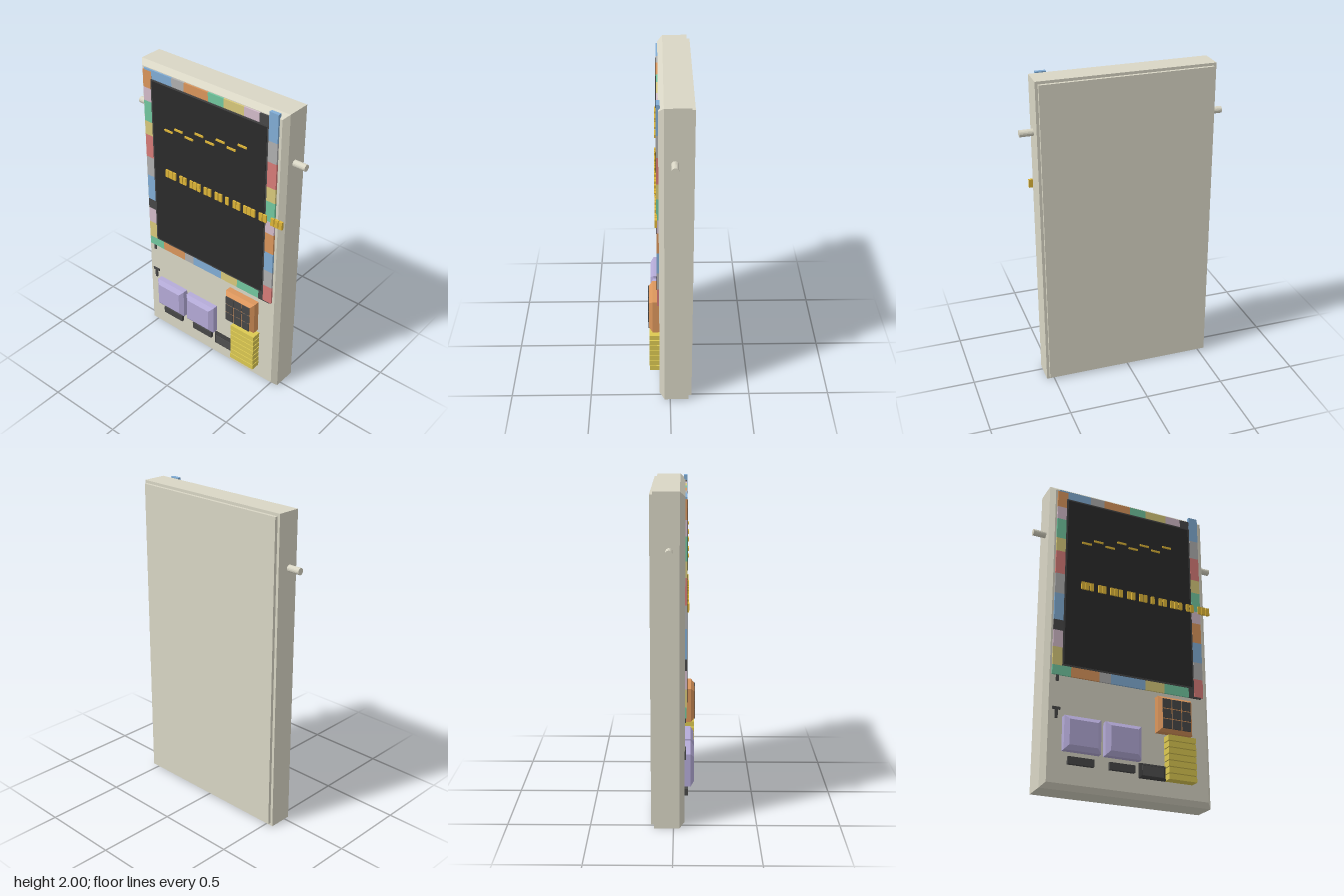
import * as THREE from 'three';

const BLUE = 0x82aed6, GREY = 0xb0b0b0, ORANGE = 0xdb965c, GREEN = 0x72c8a0, YELLOW = 0xd9ca7c,
  PINK = 0xd4bccb, RED = 0xd87c78, DARK = 0x484848, CREAM = 0xd9d6c5, GOLD = 0xdfb638;

const mats = {};
const mat = (color) => (mats[color] ??= new THREE.MeshStandardMaterial({ color, flatShading: true }));

export function createModel() {
  const model = new THREE.Group();

  function add(parent, name, geometry, color) {
    const mesh = new THREE.Mesh(geometry, mat(color));
    mesh.name = name;
    parent.add(mesh);
    return mesh;
  }
  function group(name) {
    const g = new THREE.Group();
    g.name = name;
    model.add(g);
    return g;
  }
  // Box given by its limits
  function box(parent, name, color, x0, x1, y0, y1, z0, z1) {
    const g = new THREE.BoxGeometry(x1 - x0, y1 - y0, z1 - z0);
    g.translate((x0 + x1) / 2, (y0 + y1) / 2, (z0 + z1) / 2);
    return add(parent, name, g, color);
  }
  // Box whose front narrows by "inset" between zMid and z1
  function bevelBox(parent, name, color, x0, x1, y0, y1, z0, zMid, z1, inset) {
    const g = new THREE.BoxGeometry(x1 - x0, y1 - y0, 2, 1, 1, 2);
    const p = g.attributes.position;
    for (let i = 0; i < p.count; i++) {
      const z = p.getZ(i), cut = z > 0.5 ? inset : 0;
      p.setXYZ(i,
        (x0 + x1) / 2 + p.getX(i) - Math.sign(p.getX(i)) * cut,
        (y0 + y1) / 2 + p.getY(i) - Math.sign(p.getY(i)) * cut,
        z < -0.5 ? z0 : z > 0.5 ? z1 : zMid);
    }
    g.computeVertexNormals();
    return add(parent, name, g, color);
  }

  // Casing, back panel and side pins
  bevelBox(model, 'casing', CREAM, -0.547, 0.547, 0, 2, -0.115, 0.035, 0.066, 0.03);
  box(model, 'backPanel', CREAM, -0.53, 0.53, 0.017, 1.983, -0.134, -0.115);
  for (const side of [-1, 1]) {
    const pin = add(model, side > 0 ? 'leftPin' : 'rightPin',
      new THREE.CylinderGeometry(0.021, 0.021, 0.1, 16).rotateZ(Math.PI / 2), CREAM);
    pin.position.set(side * 0.58, 1.67, -0.025);
  }

  // Coloured border: each run lists [colour, end coordinate]
  const border = group('colourBorder');
  function run(name, start, list, place) {
    let a = start;
    list.forEach(([color, b], i) => {
      place(`${name}${i + 1}`, color, Math.min(a, b), Math.max(a, b));
      a = b;
    });
  }
  run('topTile', -0.495, [[BLUE, -0.278], [GREY, -0.182], [ORANGE, 0], [GREEN, 0.114],
    [YELLOW, 0.262], [PINK, 0.37], [DARK, 0.437]],
  (n, c, a, b) => box(border, n, c, a, b, 1.9, 1.966, 0.06, 0.076));
  run('bottomTile', -0.505, [[GREEN, -0.386], [ORANGE, -0.204], [GREY, -0.13], [BLUE, 0.1],
    [YELLOW, 0.23], [GREEN, 0.4], [DARK, 0.485]],
  (n, c, a, b) => box(border, n, c, a, b, 0.683, 0.75, 0.06, 0.076));
  run('rightTile', 1.955, [[ORANGE, 1.84], [PINK, 1.75], [GREEN, 1.61], [YELLOW, 1.516], [RED, 1.357],
    [GREY, 1.22], [BLUE, 1.04], [DARK, 0.97], [PINK, 0.86], [YELLOW, 0.743]],
  (n, c, a, b) => box(border, n, c, -0.505, -0.437, a, b, 0.06, 0.077));
  run('leftTile', 2, [[BLUE, 1.82], [GREY, 1.687], [RED, 1.522], [YELLOW, 1.427], [GREEN, 1.29],
    [PINK, 1.204], [ORANGE, 1.066], [BLUE, 0.928], [GREY, 0.812], [RED, 0.693]],
  (n, c, a, b) => box(border, n, c, 0.437, 0.5, a, b, 0.056, 0.079));

  // Screen with a thin rim
  box(model, 'screenRim', 0x444444, -0.444, 0.437, 0.745, 1.909, 0.06, 0.078);
  box(model, 'screen', 0x2b2b2b, -0.433, 0.426, 0.756, 1.898, 0.07, 0.08);

  // Dashes on the upper screen
  const dashes = group('screenDashes');
  [1.607, 1.638, 1.617, 1.67, 1.648, 1.69, 1.67, 1.717].forEach((y, i) => {
    const x = -0.304 + i * 0.0807;
    box(dashes, `dash${i + 1}`, GOLD, x - 0.032, x + 0.032, y - 0.006, y + 0.006, 0.076, 0.088);
  });

  // Row of bars in clusters: [start, count, pitch]
  const bars = group('screenBars');
  [[-0.336, 3, 0.029], [-0.222, 2, 0.029], [-0.14, 3, 0.03], [-0.025, 2, 0.03], [0.06, 2, 0.03],
    [0.142, 1, 0], [0.198, 2, 0.03], [0.28, 3, 0.03], [0.394, 2, 0.03], [0.48, 3, 0.029]]
    .forEach(([x, count, pitch], c) => {
      for (let i = 0; i < count; i++) {
        const a = x + i * pitch;
        box(bars, `bar${c + 1}_${i + 1}`, GOLD, a, a + 0.024, 1.277, 1.328, 0.074, 0.09);
      }
    });

  // Two large buttons with a slot under each
  [-0.43, -0.172].forEach((x, i) => {
    bevelBox(model, `button${i + 1}`, 0xb5abd8, x, x + 0.231, 0.22, 0.428, 0.06, 0.102, 0.123, 0.027);
    box(model, `slot${i + 1}`, DARK, x + 0.035, x + 0.197, 0.145, 0.19, 0.06, 0.086);
  });

  // Small dark box
  bevelBox(model, 'darkBox', 0x3c3c3c, 0.055, 0.226, 0.122, 0.212, 0.06, 0.08, 0.086, 0.012);
  box(model, 'darkBoxFace', 0x505050, 0.07, 0.211, 0.137, 0.197, 0.08, 0.09);

  // Keypad: bevelled block with nine keys
  const keypad = group('keypad');
  bevelBox(keypad, 'keypadBase', ORANGE, 0.168, 0.398, 0.416, 0.644, 0.06, 0.107, 0.129, 0.021);
  for (let r = 0; r < 3; r++) {
    for (let c = 0; c < 3; c++) {
      const x = 0.283 + (c - 1) * 0.065, y = 0.528 + (r - 1) * 0.065;
      box(keypad, `key${r * 3 + c + 1}`, DARK, x - 0.029, x + 0.029, y - 0.029, y + 0.029, 0.12, 0.134);
    }
  }

  // Stack of slats
  const slats = group('slatStack');
  for (let i = 0; i < 7; i++) {
    const y = 0.123 + i * 0.0402;
    box(slats, `slat${i + 1}`, 0xdcc952, 0.226, 0.411, y, y + 0.034, 0.06, 0.128);
  }

  // T-shaped marks on the panel
  [0.483, 0.715].forEach((top, i) => {
    const mark = group(`tMark${i + 1}`);
    box(mark, 'markBar', DARK, -0.494, -0.445, top - 0.016, top, 0.06, 0.074);
    box(mark, 'markStem', DARK, -0.478, -0.461, top - 0.07, top - 0.016, 0.06, 0.074);
  });

  return model;
}
